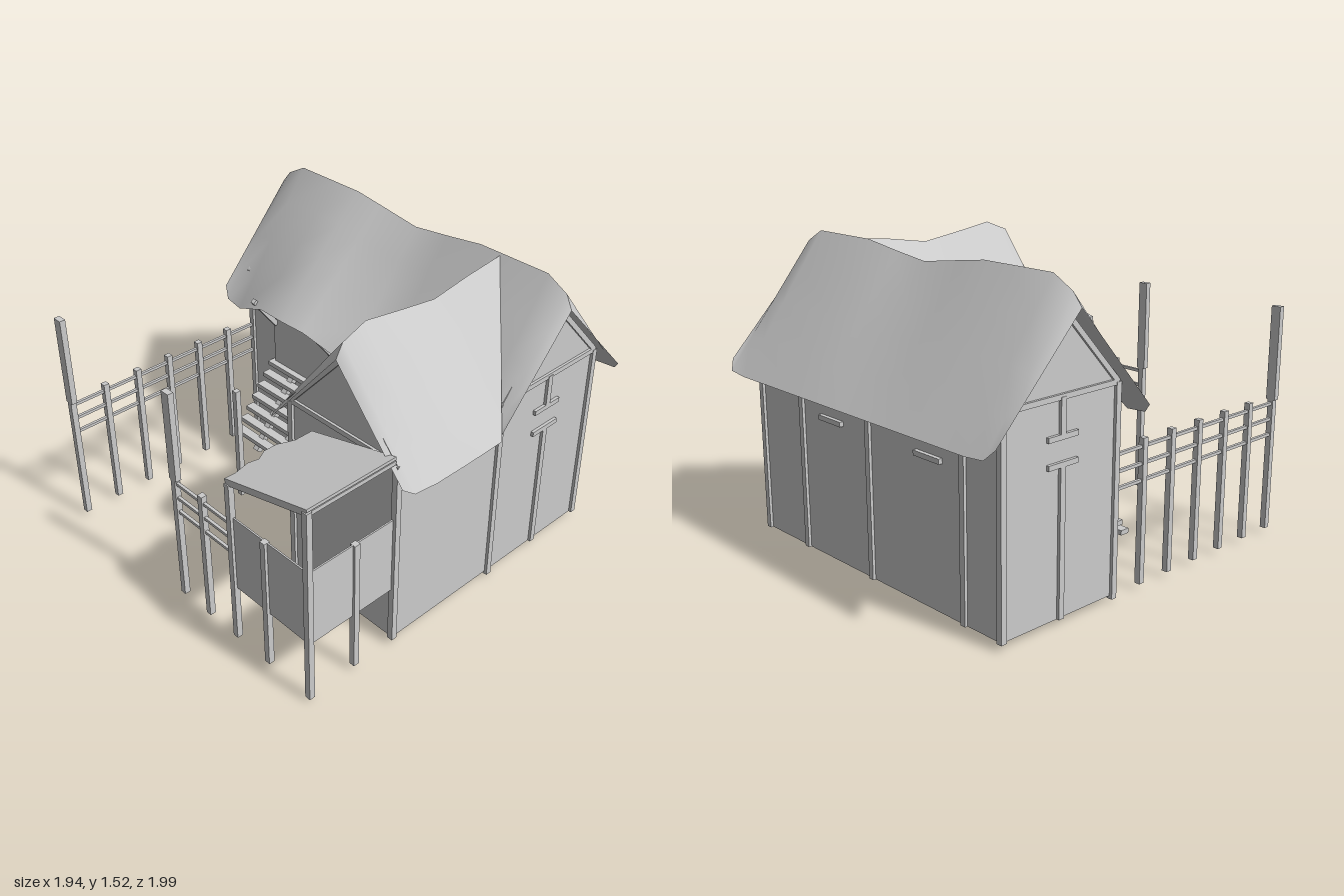
import * as THREE from 'three';

const mat = new THREE.MeshStandardMaterial({ color: 0xcccccc, side: THREE.DoubleSide });
const V = (p) => new THREE.Vector3(...p);

export function createModel() {
  const model = new THREE.Group();

  const add = (name, geo) => {
    const mesh = new THREE.Mesh(geo, mat);
    mesh.name = name;
    model.add(mesh);
    return mesh;
  };
  // box given by its minimum and maximum on each axis
  const box = (name, x0, x1, y0, y1, z0, z1) => {
    const m = add(name, new THREE.BoxGeometry(x1 - x0, y1 - y0, z1 - z0));
    m.position.set((x0 + x1) / 2, (y0 + y1) / 2, (z0 + z1) / 2);
    return m;
  };
  // upright square post
  const post = (name, x, z, y0, y1, w = 0.03) =>
    box(name, x - w / 2, x + w / 2, y0, y1, z - w / 2, z + w / 2);
  // square beam between two points
  const beam = (name, a, b, w = 0.025) => {
    const p = V(a), q = V(b);
    const m = add(name, new THREE.BoxGeometry(w, w, p.distanceTo(q)));
    m.position.copy(p).lerp(q, 0.5);
    m.lookAt(q);
    return m;
  };
  // flat convex panel, corners counter-clockwise seen from outside
  const panel = (name, pts) => {
    const g = new THREE.BufferGeometry();
    g.setAttribute('position', new THREE.Float32BufferAttribute(pts.flat(), 3));
    const idx = [];
    for (let i = 1; i < pts.length - 1; i++) idx.push(0, i, i + 1);
    g.setIndex(idx);
    g.computeVertexNormals();
    return add(name, g);
  };
  // smooth roof slope lofted from [ridge point, eave point] stations
  const slope = (name, stations, flip) => {
    const n = 4, pos = [], idx = [];
    stations.forEach(([r, e], i) => {
      for (let j = 0; j <= n; j++) pos.push(...V(r).lerp(V(e), j / n).toArray());
      if (i === 0) return;
      for (let j = 0; j < n; j++) {
        const a = (i - 1) * (n + 1) + j, b = a + 1, c = a + n + 1, d = c + 1;
        if (flip) idx.push(a, c, b, b, c, d);
        else idx.push(a, b, c, b, d, c);
      }
    });
    const g = new THREE.BufferGeometry();
    g.setAttribute('position', new THREE.Float32BufferAttribute(pos, 3));
    g.setIndex(idx);
    g.computeVertexNormals();
    return add(name, g);
  };

  // Main thatched roof: x, ridge y, front eave z, front eave y, back eave z, back eave y
  const main = [
    [-0.97, 1.40, -0.09, 0.92, -0.98, 0.92], [-0.92, 1.46, -0.06, 0.87, -1, 0.87],
    [-0.81, 1.52, -0.05, 0.86, -1, 0.86], [-0.57, 1.52, 0, 0.97, -1, 0.86],
    [-0.4, 1.52, 0.01, 0.975, -1, 0.86], [-0.25, 1.50, 0, 0.97, -1, 0.86],
    [0, 1.465, -0.06, 0.87, -1, 0.86], [0.2, 1.49, -0.06, 0.86, -1, 0.86],
    [0.41, 1.52, -0.06, 0.86, -1, 0.86], [0.8, 1.52, -0.06, 0.86, -1, 0.86],
    [0.91, 1.46, -0.07, 0.87, -1, 0.87], [0.945, 1.39, -0.1, 0.92, -0.97, 0.92],
  ];
  slope('mainRoofFront', main.map(([x, r, z, y]) => [[x, r, -0.52], [x, y, z]]), false);
  slope('mainRoofBack', main.map(([x, r, , , z, y]) => [[x, r, -0.52], [x, y, z]]), true);

  // Wing roof, tapering into the valley: z, ridge y, left x, left y, right x, right y
  const wing = [
    [-0.52, 1.51, 0.53, 1.51, 0.53, 1.51], [-0.3, 1.485, 0.3, 1.19, 0.75, 1.2],
    [-0.08, 1.45, 0.06, 0.87, 0.965, 0.91], [0.14, 1.48, 0.05, 0.86, 0.97, 0.91],
    [0.34, 1.51, 0.05, 0.86, 0.97, 0.91], [0.47, 1.46, 0.06, 0.87, 0.965, 0.92],
    [0.51, 1.39, 0.1, 0.89, 0.93, 0.94],
  ];
  slope('wingRoofWest', wing.map(([z, r, x, y]) => [[0.53, r, z], [x, y, z]]), false);
  slope('wingRoofEast', wing.map(([z, r, , , x, y]) => [[0.53, r, z], [x, y, z]]), true);

  // House walls: an open-bottomed L plan
  const B = 0.03, X = 0.865, F = -0.185, K = -0.855, W = 0.475, L = 0.205, T = 1.02;
  panel('backWall', [[X, B, K], [-X, B, K], [-X, T, K], [X, T, K]]);
  panel('frontWall', [[-X, B, F], [L, B, F], [L, T, F], [-X, T, F]]);
  panel('wingSideWall', [[L, B, F], [L, B, W], [L, T, W], [L, T, F]]);
  panel('wingOuterWall', [[X, B, W], [X, B, F], [X, T, F], [X, T, W]]);
  panel('wingGable', [[L, B, W], [X, B, W], [X, T, W], [0.53, 1.39, W], [L, T, W]]);
  panel('rightGable', [[X, B, F], [X, B, K], [X, T, K], [X, 1.4, -0.52], [X, T, F]]);
  panel('leftGable', [[-X, B, K], [-X, B, F], [-X, T, F], [-X, 1.4, -0.52], [-X, T, K]]);

  // Timber frame
  for (const x of [-0.64, 0, 0.52]) post('backPost', x, K, B, 0.95);
  for (const s of [-1, 1]) {
    const x = s * X;
    post('cornerPost', x, K, B, T);
    post('cornerPost', x, F, 0.015, T);
    post('gablePost', x, -0.52, B, 0.72);
    post('gablePost', x, -0.52, 0.86, T);
    beam('gableTie', [x, T, K], [x, T, F]);
    for (const z of [K, F]) beam('gableRafter', [x, T, z], [x, 1.38, -0.52]);
    for (const y of [0.73, 0.85])
      box('gableSill', x - 0.015, x + 0.015, y - 0.012, y + 0.012, -0.605, -0.43);
  }
  for (const x of [L, X]) {
    post('wingPost', x, W, B, T);
    beam('wingRafter', [x, T, W], [0.53, 1.38, W]);
  }
  beam('wingTie', [L, T, W], [X, T, W]);
  for (const y of [0.73, 0.85]) {
    box('frontSill', -0.145, 0.03, y - 0.012, y + 0.012, F, F + 0.03);
    for (const x of [-0.42, 0.28])
      box('backSill', x - 0.085, x + 0.085, y - 0.012, y + 0.012, K - 0.02, K);
  }
  post('frontPost', -0.058, F, B, 0.73);
  post('frontPost', -0.058, F, 0.85, T);

  // Raised door under the lifted eave, with struts
  box('door', -0.68, -0.22, 0.53, 1.0, F, F + 0.01);
  for (const x of [-0.665, -0.235]) beam('eaveStrut', [x, 0.78, F + 0.01], [x, 0.97, -0.03]);

  // Stairs with two stringers and a lone post in front
  for (let i = 0; i < 7; i++) {
    const y = 0.205 + i * 0.054, z = 0.085 - i * 0.042;
    box('stairTread', -0.7, -0.19, y - 0.012, y + 0.012, z - 0.025, z + 0.025);
  }
  for (const x of [-0.53, -0.36]) beam('stairStringer', [x, 0.15, 0.1], [x, 0.5, -0.17], 0.035);
  post('yardPost', -0.45, 0.28, 0, 0.66);

  // Fences: low posts, a tall gate post at the end of each, and rails
  const tall = (x) => box('gatePostTop', x - 0.025, x + 0.025, 0.71, 1.18, 0.96, 0.99);
  for (let i = 0; i < 6; i++) post('fencePost', -0.867, i * 0.195, B, 0.73);
  for (const x of [-0.025, 0.17]) post('fencePost', x, 0.975, B, 0.73);
  tall(-0.867);
  tall(-0.025);
  for (const y of [0.53, 0.61, 0.69]) {
    beam('sideFenceRail', [-0.867, y, F], [-0.867, y, 0.975], 0.015);
    beam('frontFenceRail', [-0.025, y, 0.975], [0.365, y, 0.975], 0.015);
  }

  // Porch: posts, half-height panels and frame
  const P = 0.975;
  post('porchPost', 0.37, P, B, 0.91);
  post('porchPost', 0.592, P, B, 0.73);
  post('porchPost', 0.86, P, 0.015, 1.05);
  post('porchPost', 0.86, 0.71, B, 0.73);
  box('porchFrontPanel', 0.37, 0.86, 0.33, 0.73, P - 0.008, P);
  box('porchSidePanel', 0.855, 0.863, 0.33, 0.73, W, P);
  beam('porchRafter', [0.36, 0.91, P], [0.865, 1.045, P], 0.02);
  beam('porchRafter', [0.36, 0.91, 0.5], [0.865, 1.045, 0.5], 0.02);
  beam('porchPlate', [0.86, 1.04, 0.49], [0.86, 1.04, 0.98], 0.02);

  // Ragged lean-to roof, sheared to follow its pitch
  const edge = [[0.87, 0.49], [0.355, 0.49], [0.355, 0.59], [0.31, 0.66], [0.31, 0.73],
    [0.35, 0.79], [0.335, 0.84], [0.36, 0.93], [0.355, 0.985], [0.87, 0.985]];
  const roof = new THREE.ExtrudeGeometry(
    new THREE.Shape(edge.map(([x, z]) => new THREE.Vector2(x, -z))),
    { depth: 0.016, bevelEnabled: false });
  roof.rotateX(-Math.PI / 2);
  const rp = roof.attributes.position;
  for (let i = 0; i < rp.count; i++)
    rp.setY(i, rp.getY(i) + 0.905 + (rp.getX(i) - 0.31) * 0.268);
  roof.computeVertexNormals();
  add('porchRoof', roof);

  return model;
}
